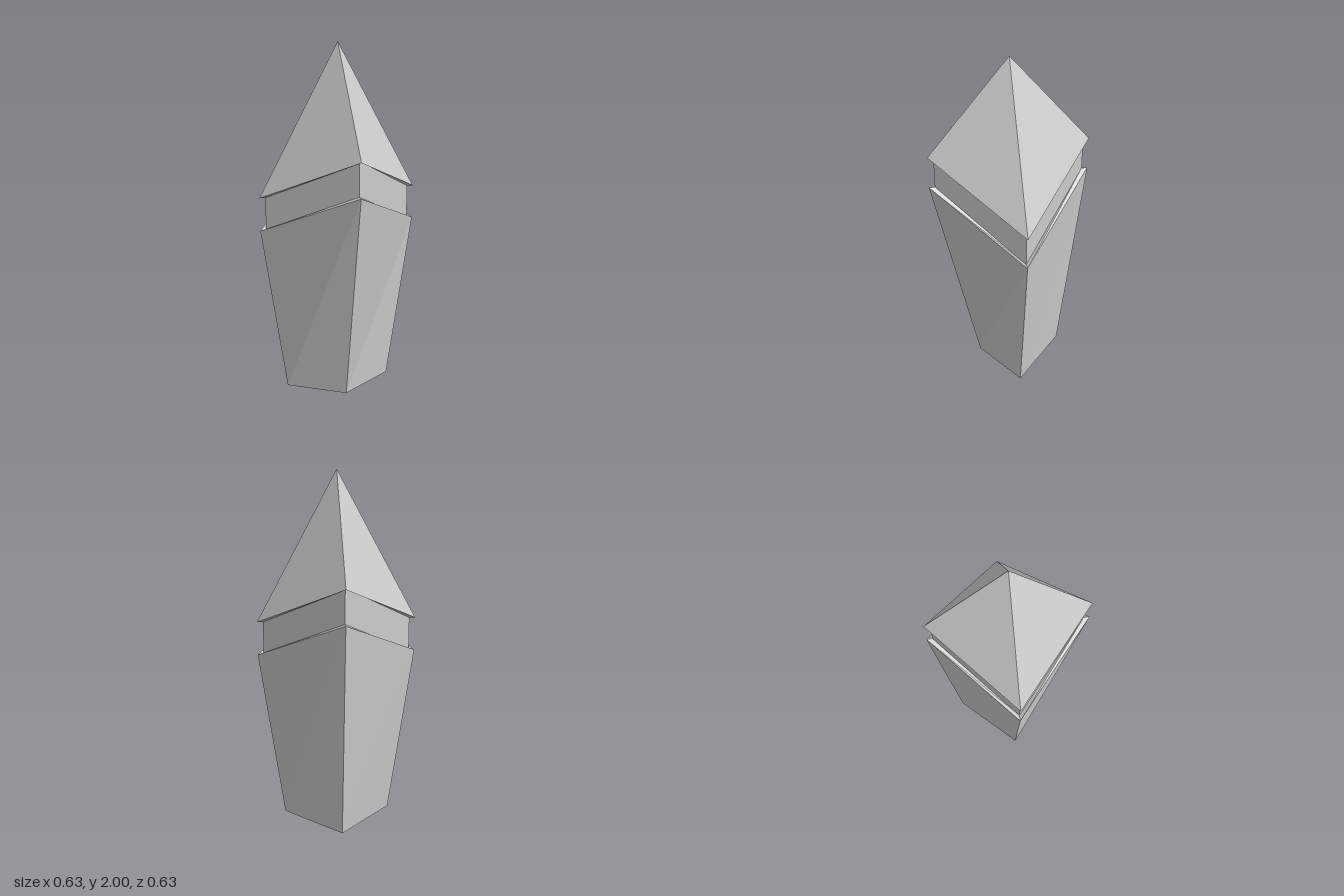
import * as THREE from 'three';

const material = new THREE.MeshStandardMaterial({
  color: 0xcccccc, flatShading: true, side: THREE.DoubleSide,
});

// Corner order: front-right, front-left, back-left, back-right (model's own sides)
const SIGNS = [[-1, 1], [1, 1], [1, -1], [-1, -1]];

// Square ring whose corners alternate between a low and a high level
function ring(half, low, high) {
  return SIGNS.map(([sx, sz], i) => [sx * half, i % 2 ? high : low, sz * half]);
}

// Flat-faced skin through a stack of four-cornered rings, optionally closed to an apex
function loft(name, rings, apex) {
  const positions = [];
  for (let r = 0; r < rings.length; r++) {
    const a = rings[r], b = rings[r + 1];
    for (let i = 0; i < 4; i++) {
      const j = (i + 1) % 4;
      if (b) positions.push(...a[i], ...a[j], ...b[j], ...a[i], ...b[j], ...b[i]);
      else if (apex) positions.push(...a[i], ...a[j], ...apex);
    }
  }
  const geometry = new THREE.BufferGeometry();
  geometry.setAttribute('position', new THREE.Float32BufferAttribute(positions, 3));
  geometry.computeVertexNormals();
  const mesh = new THREE.Mesh(geometry, material);
  mesh.name = name;
  return mesh;
}

export function createModel() {
  const group = new THREE.Group();
  group.name = 'crystal';

  const rim = 0.313, neck = 0.29;
  const bodyRim = ring(rim, 0.977, 1.262);
  const neckBottom = ring(neck, 0.977, 1.262);
  const neckTop = ring(neck, 1.167, 1.453);
  const tipRim = ring(rim, 1.167, 1.453);

  // Open foot with one corner pulled inwards
  const foot = ring(0.215, 0, 0);
  foot[1] = [0.13, 0, 0.13];

  group.add(
    loft('taperedBody', [foot, bodyRim, neckBottom]), // includes the ledge on top
    loft('recessedNeck', [neckBottom, neckTop]),
    loft('pointedTip', [neckTop, tipRim], [0, 2, 0]), // includes the ledge beneath
  );
  return group;
}
